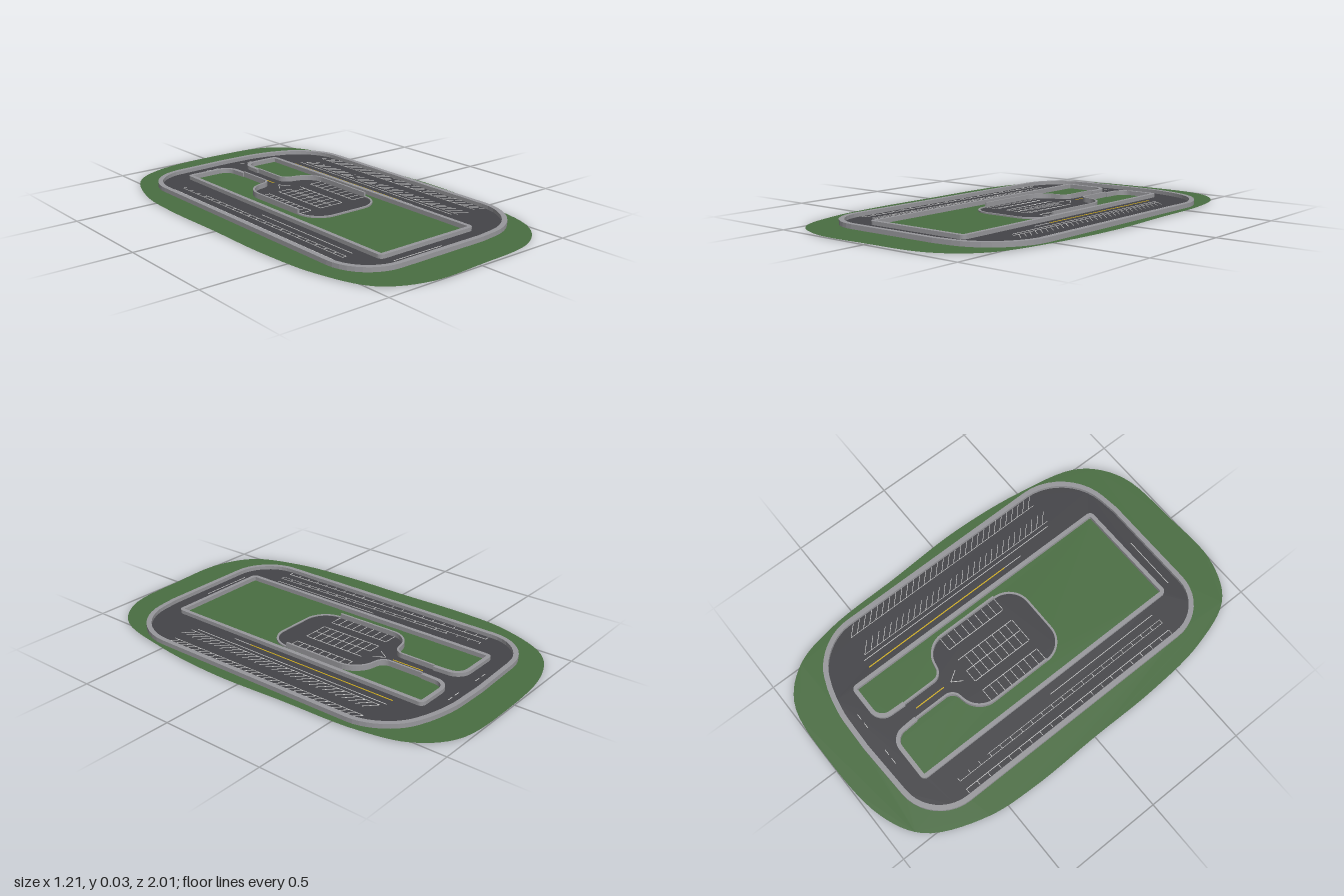
import * as THREE from 'three';
import { mergeGeometries } from 'three/addons/utils/BufferGeometryUtils.js';

const material = (color) => new THREE.MeshStandardMaterial({ color, side: THREE.DoubleSide });
const grass = material(0x4a6e42), asphalt = material(0x444448), concrete = material(0x98989c);
const white = material(0xcccccc), yellow = material(0xd6b21e);

const GRASS_Y = 0.005, ROAD_Y = 0.008;
const v2 = (x, z) => new THREE.Vector2(x, z);

// Polyline through corners [x, z, radius], each corner rounded
function rounded(corners, closed) {
  const n = corners.length, out = [];
  corners.forEach(([x, z, r], i) => {
    const p = v2(x, z);
    if (!r || (!closed && (i === 0 || i === n - 1))) return out.push(p);
    const prev = corners[(i + n - 1) % n], next = corners[(i + 1) % n];
    const a = v2(prev[0], prev[1]).sub(p).setLength(r).add(p);
    const b = v2(next[0], next[1]).sub(p).setLength(r).add(p);
    const k = 0.55; // cubic arms close to a circular arc
    out.push(...new THREE.CubicBezierCurve(a, a.clone().lerp(p, k), b.clone().lerp(p, k), b).getPoints(10));
  });
  return out;
}

function add(parent, name, geometry, mat) {
  const mesh = new THREE.Mesh(geometry, mat);
  mesh.name = name;
  parent.add(mesh);
  return mesh;
}

// Flat sheet in the ground plane
function sheet(outline, holes, y) {
  const shape = new THREE.Shape(outline);
  shape.holes = holes.map((h) => new THREE.Path(h));
  return new THREE.ShapeGeometry(shape).rotateX(Math.PI / 2).translate(0, y, 0);
}

// Upright kerb of given width along a polyline
function kerb(points, closed, width, y0, y1) {
  const n = points.length;
  const side = (s) => points.map((p, i) => {
    const a = points[closed ? (i + n - 1) % n : Math.max(i - 1, 0)];
    const b = points[closed ? (i + 1) % n : Math.min(i + 1, n - 1)];
    const d = b.clone().sub(a).normalize();
    return v2(p.x - d.y * s * width / 2, p.y + d.x * s * width / 2);
  });
  let shape;
  if (closed) {
    const rings = [side(1), side(-1)].sort((a, b) =>
      Math.abs(THREE.ShapeUtils.area(b)) - Math.abs(THREE.ShapeUtils.area(a)));
    shape = new THREE.Shape(rings[0]);
    shape.holes.push(new THREE.Path(rings[1]));
  } else {
    shape = new THREE.Shape([...side(1), ...side(-1).reverse()]);
  }
  return new THREE.ExtrudeGeometry(shape, { depth: y1 - y0, bevelEnabled: false })
    .rotateX(Math.PI / 2).translate(0, y1, 0);
}

// Thin painted stripe between two points, set through the road sheet
function stripe(x0, z0, x1, z1, w = 0.003) {
  return new THREE.BoxGeometry(Math.hypot(x1 - x0, z1 - z0), 0.003, w)
    .rotateY(-Math.atan2(z1 - z0, x1 - x0))
    .translate((x0 + x1) / 2, ROAD_Y, (z0 + z1) / 2);
}

// Row of stall dividers, slanted by dz
function stalls(x0, x1, zStart, zEnd, step, dz = 0) {
  const list = [];
  for (let z = zStart; z <= zEnd + 1e-6; z += step) list.push(stripe(x0, z, x1, z + dz, 0.0025));
  return list;
}

export function createModel() {
  const model = new THREE.Group();
  model.name = 'parkingLoop';

  // Outlines
  const lawnOutline = new THREE.CatmullRomCurve3([
    [-0.61, -0.36], [-0.585, -0.6], [-0.47, -0.86], [-0.29, -0.965], [0.05, -1], [0.37, -0.97],
    [0.51, -0.84], [0.57, -0.62], [0.587, -0.24], [0.602, 0.14], [0.57, 0.51], [0.49, 0.82],
    [0.32, 0.96], [0, 0.995], [-0.29, 0.995], [-0.475, 0.9], [-0.57, 0.66], [-0.603, 0.35], [-0.605, 0],
  ].map(([x, z]) => new THREE.Vector3(x, 0, z)), true).getPoints(120).slice(0, -1).map((p) => v2(p.x, p.z));

  const roadOutline = rounded([
    [-0.47, -0.815, 0.2], [0, -0.835, 0], [0.25, -0.83, 0.1], [0.535, -0.72, 0.17],
    [0.535, 0.77, 0.25], [0.2, 0.81, 0], [-0.47, 0.815, 0.2],
  ], true);

  const lotBack = [[-0.035, -0.37, 0.04], [-0.19, -0.34, 0.09]];
  const lotFront = [[-0.185, 0.178, 0.11], [0.207, 0.178, 0.11]];
  const lotReturn = [[0.21, -0.34, 0.09], [0.055, -0.37, 0.04]];
  const neckLeft = [-0.042, -0.715, 0.06], neckRight = [0.06, -0.715, 0.06];
  const field = [[0.255, -0.715, 0.015], [0.255, 0.7, 0.015], [-0.272, 0.705, 0.015], [-0.272, -0.715, 0.015]];
  const infield = rounded([neckLeft, ...lotBack, ...lotFront, ...lotReturn, neckRight, ...field], true);

  // Lawn and paving
  add(model, 'outerLawn', sheet(lawnOutline, [roadOutline], GRASS_Y), grass);
  add(model, 'infieldLawn', sheet(infield, [], GRASS_Y), grass);
  add(model, 'roadSurface', sheet(roadOutline, [infield], ROAD_Y), asphalt);

  // Kerbs
  add(model, 'outerKerb', kerb(roadOutline, true, 0.024, 0.004, 0.026), concrete);
  add(model, 'infieldKerb', kerb(rounded([
    [0.055, -0.58], neckRight, ...field, neckLeft, [-0.035, -0.58],
  ], false), false, 0.02, 0.004, 0.026), concrete);
  add(model, 'lotKerbLeft', kerb(rounded([[-0.035, -0.58], ...lotBack, [-0.188, 0.06]], false),
    false, 0.01, 0, 0.031), concrete);
  add(model, 'lotKerbRight', kerb(rounded([[0.209, 0.06], ...lotReturn, [0.055, -0.58]], false),
    false, 0.01, 0, 0.031), concrete);
  add(model, 'lotKerbFront', kerb(rounded([[-0.188, 0.06], ...lotFront, [0.209, 0.06]], false),
    false, 0.01, 0.003, 0.012), concrete);

  // White markings
  const lines = [
    // left parking lane
    stripe(-0.43, -0.6, -0.43, 0.6), stripe(-0.385, -0.6, -0.385, 0.6, 0.002),
    stripe(-0.365, -0.43, -0.365, 0.6, 0.002), stripe(-0.325, -0.03, -0.325, 0.59),
    ...stalls(-0.452, -0.43, -0.6, 0.6, 0.06), ...stalls(-0.385, -0.365, -0.6, 0.6, 0.06),
    // right lane lines and slanted stalls
    stripe(0.34, -0.6, 0.34, 0.5), stripe(0.3, 0.2, 0.3, 0.3),
    stripe(0.362, -0.58, 0.362, 0.52, 0.002), stripe(0.47, -0.58, 0.47, 0.52, 0.002),
    ...stalls(0.362, 0.415, -0.58, 0.52, 0.0355, 0.05), ...stalls(0.47, 0.522, -0.58, 0.52, 0.0355, 0.05),
    // short end lines
    stripe(-0.25, 0.757, 0.02, 0.757),
    ...[-0.14, -0.09, 0.07, 0.12].map((x) => stripe(x, -0.775, x + 0.03, -0.775)),
    // lot stalls
    ...[-0.115, -0.06, 0.005, 0.07, 0.135].map((x) => stripe(x, -0.26, x, 0.055)),
    ...stalls(-0.182, -0.115, -0.26, 0.06, 0.04), ...stalls(-0.06, 0.005, -0.26, 0.06, 0.04),
    ...stalls(0.005, 0.07, -0.22, 0.06, 0.04), ...stalls(0.135, 0.202, -0.26, 0.06, 0.04),
    // entrance arrow
    stripe(0.007, -0.35, -0.025, -0.3), stripe(0.007, -0.35, 0.04, -0.3),
  ];
  add(model, 'whiteMarkings', mergeGeometries(lines), white);

  // Yellow centre lines
  add(model, 'yellowMarkings', mergeGeometries([
    stripe(0.3, -0.6, 0.3, 0.2, 0.005), stripe(0.007, -0.55, 0.007, -0.39, 0.005),
  ]), yellow);

  return model;
}
